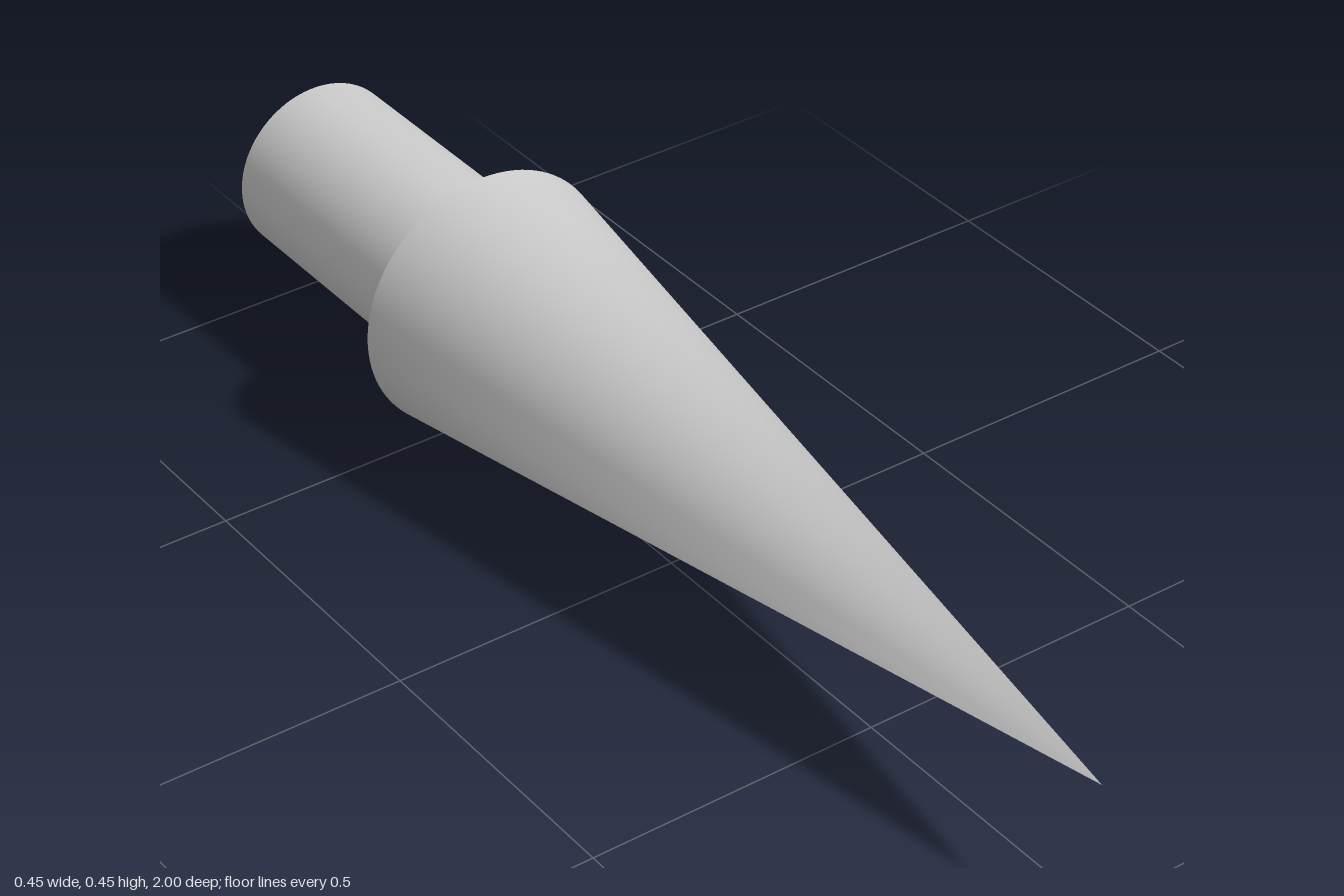
import * as THREE from 'three';

const SEGMENTS = 96;
const HEAD_RADIUS = 0.225, HEAD_LENGTH = 1.5;
const SHAFT_RADIUS = 0.15, SHAFT_LENGTH = 0.5;

export function createModel() {
  const model = new THREE.Group();
  const material = new THREE.MeshStandardMaterial({ color: 0xcccccc });

  // Adds a round part lying along z, starting at zBack
  const addPart = (name, geometry, length, zBack) => {
    geometry.rotateX(Math.PI / 2);
    geometry.translate(0, HEAD_RADIUS, zBack + length / 2);
    const mesh = new THREE.Mesh(geometry, material);
    mesh.name = name;
    model.add(mesh);
  };

  // Pointed head: the normals at the tip all point along the axis, for one soft shared tip
  const head = new THREE.ConeGeometry(HEAD_RADIUS, HEAD_LENGTH, SEGMENTS);
  for (let i = 0; i <= SEGMENTS; i++) head.attributes.normal.setXYZ(i, 0, 1, 0);
  addPart('head', head, HEAD_LENGTH, -0.5);

  // Shaft behind the head
  const shaft = new THREE.CylinderGeometry(SHAFT_RADIUS, SHAFT_RADIUS, SHAFT_LENGTH, SEGMENTS);
  addPart('shaft', shaft, SHAFT_LENGTH, -1);

  return model;
}
